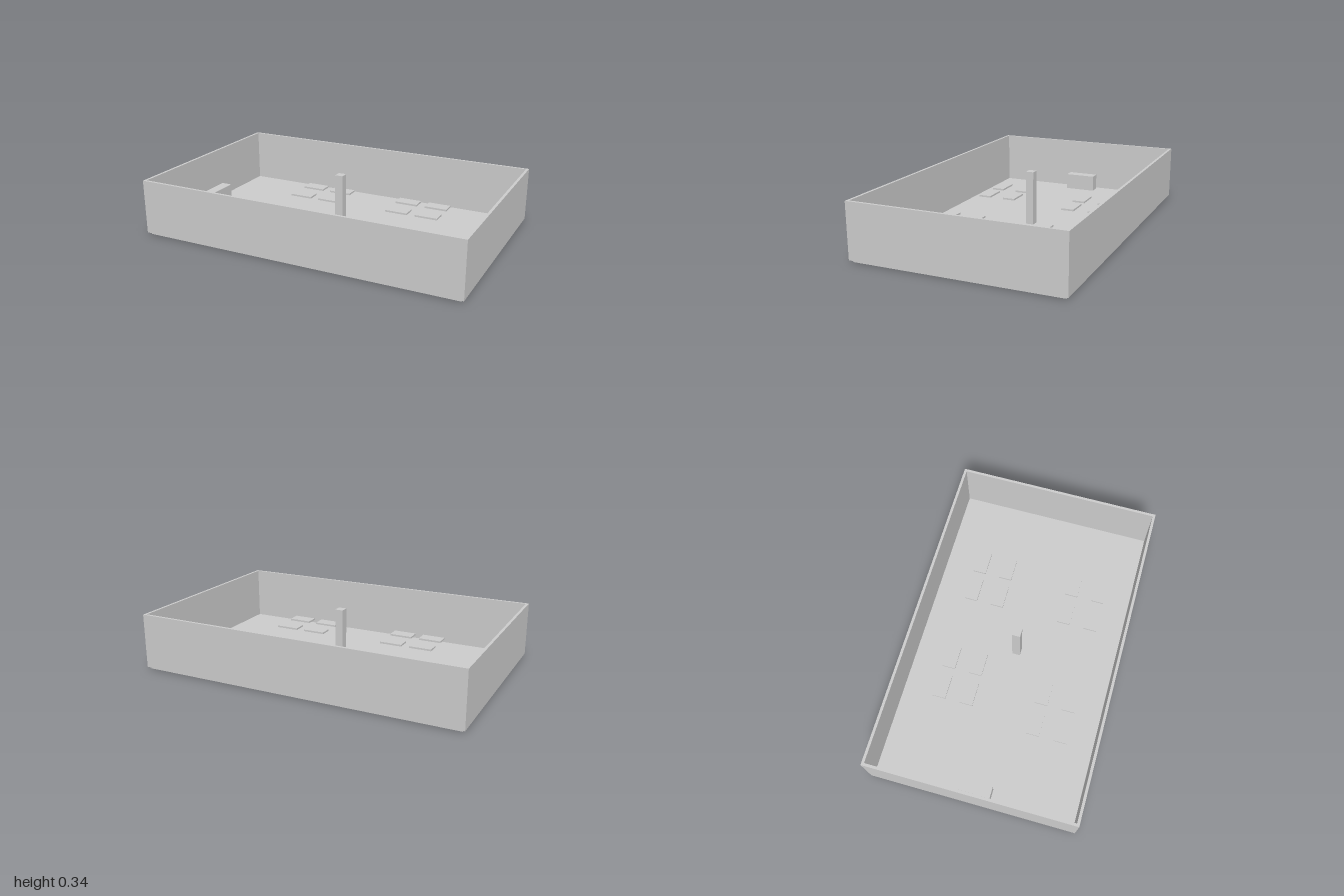
import * as THREE from 'three';

const HALF_X = 1, HALF_Z = 0.63, WALL = 0.016, FLOOR = 0.013, TOP = 0.345;

export function createModel() {
  const room = new THREE.Group();
  room.name = 'room';
  const material = new THREE.MeshStandardMaterial({ color: 0xcccccc });

  // Box placed by its centre in plan and its bottom and top heights
  function box(name, w, d, x, z, y0, y1) {
    const mesh = new THREE.Mesh(new THREE.BoxGeometry(w, y1 - y0, d), material);
    mesh.name = name;
    mesh.position.set(x, (y0 + y1) / 2, z);
    room.add(mesh);
  }

  // Floor slab, slightly inset under the walls
  box('floor', 2 * (HALF_X - WALL), 2 * (HALF_Z - WALL), 0, 0, 0, FLOOR);

  // Four walls as one extruded frame
  const rect = (Type, hx, hz) => new Type([
    new THREE.Vector2(-hx, -hz), new THREE.Vector2(hx, -hz),
    new THREE.Vector2(hx, hz), new THREE.Vector2(-hx, hz),
  ]);
  const outline = rect(THREE.Shape, HALF_X, HALF_Z);
  outline.holes.push(rect(THREE.Path, HALF_X - WALL, HALF_Z - WALL));
  const wallGeometry = new THREE.ExtrudeGeometry(outline, { depth: TOP - FLOOR, bevelEnabled: false });
  wallGeometry.rotateX(-Math.PI / 2).translate(0, FLOOR, 0);
  const walls = new THREE.Mesh(wallGeometry, material);
  walls.name = 'walls';
  room.add(walls);

  // Central pillar and the counter by the right-hand wall
  box('pillar', 0.05, 0.05, 0, 0, FLOOR, TOP);
  box('counter', 0.07, 0.2, -0.92, 0, FLOOR, 0.117);

  // Table tops in four clusters of four
  const clusters = [[-0.273, -0.287], [0.401, -0.287], [-0.348, 0.326], [0.401, 0.326]];
  for (const [cx, cz] of clusters)
    for (const sx of [-1, 1])
      for (const sz of [-1, 1])
        box('tableTop', 0.145, 0.081, cx + sx * 0.099, cz + sz * 0.086, 0.089, 0.1);

  return room;
}
